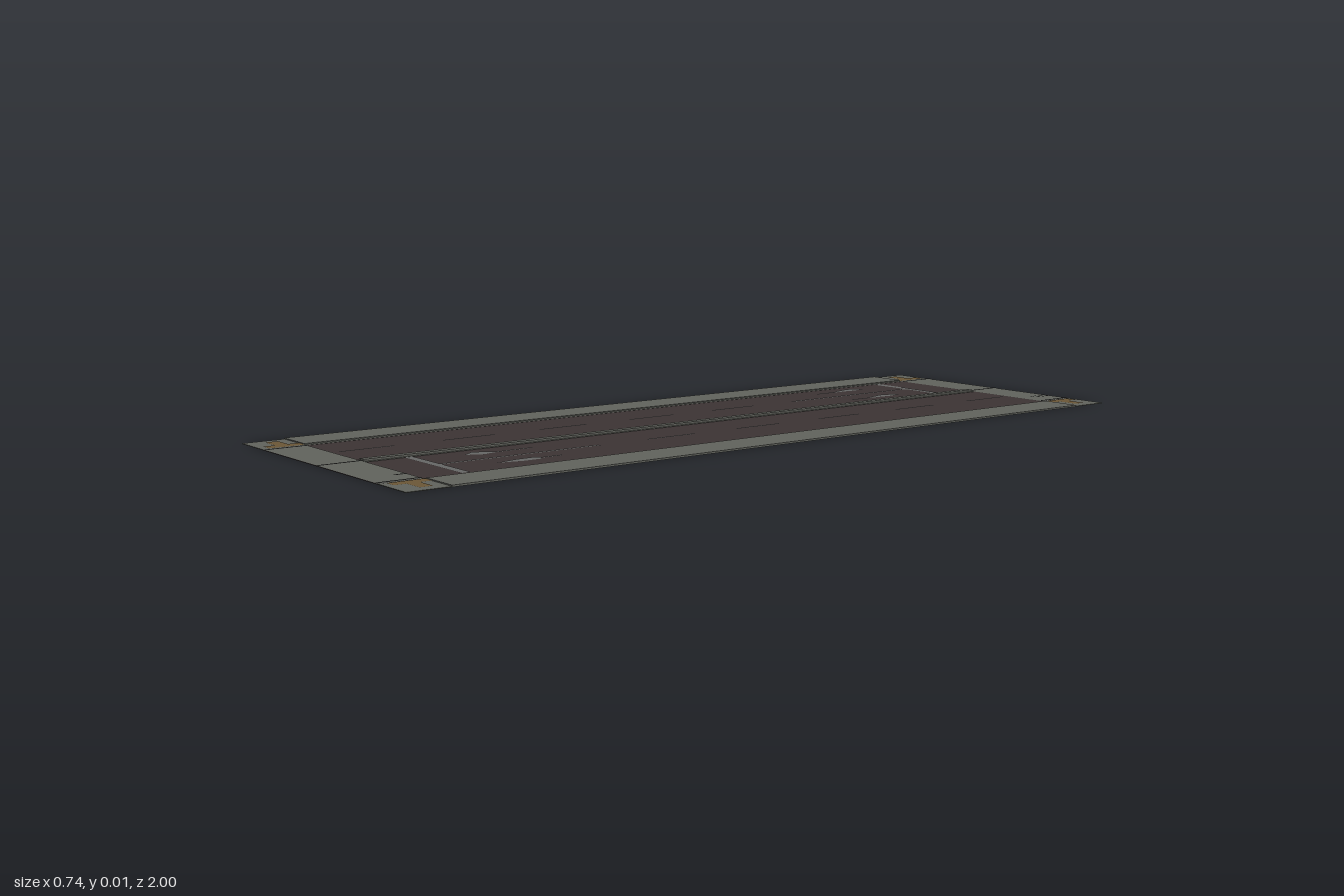
import * as THREE from 'three';

const mat = (name, color) => {
  const m = new THREE.MeshStandardMaterial({ color });
  m.name = name;
  return m;
};

export function createModel() {
  const model = new THREE.Group();
  model.name = 'roadSection';
  const asphalt = mat('asphalt', 0x3b3333);
  const concrete = mat('concrete', 0x5f615b);
  const paint = mat('roadPaint', 0x656664);
  const joint = mat('darkJoint', 0x282827);
  const tactile = mat('ochrePaving', 0x6a5636);

  // A slab spanning x0..x1, y0..y1, z0..z1
  const slab = (name, m, x0, x1, y0, y1, z0, z1) => {
    const mesh = new THREE.Mesh(new THREE.BoxGeometry(x1 - x0, y1 - y0, z1 - z0), m);
    mesh.position.set((x0 + x1) / 2, (y0 + y1) / 2, (z0 + z1) / 2);
    mesh.name = name;
    model.add(mesh);
  };
  // A painted patch lying on the asphalt
  const patch = (name, m, x, z, w, l, top = 0.0016) => {
    const mesh = new THREE.Mesh(new THREE.PlaneGeometry(w, l).rotateX(-Math.PI / 2), m);
    mesh.position.set(x, top, z);
    mesh.name = name;
    model.add(mesh);
  };

  // Carriageway
  slab('carriageway', asphalt, -0.257, 0.257, 0, 0.001, -1, 1);

  // Pavements with lowered ends
  for (const s of [-1, 1]) {
    const span = (a, b) => (s > 0 ? [a, b] : [-b, -a]);
    slab('pavementBase', concrete, ...span(0.257, 0.368), 0, 0.0015, -1, 1);
    slab('raisedPavement', concrete, ...span(0.267, 0.368), 0.0015, 0.004, -0.9, 0.9);
  }

  // Median strip with raised kerb
  slab('medianStrip', concrete, -0.016, 0.016, 0.001, 0.002, -0.9, 0.9);
  slab('medianKerb', concrete, -0.009, 0.009, 0.002, 0.006, -0.9, 0.9);

  // Crossing aprons, joints and tactile paving at both ends
  for (const e of [-1, 1]) {
    patch('crossingApron', concrete, 0, e * 0.95, 0.514, 0.1);
    for (const x of [-0.25, 0, 0.25]) patch('apronJoint', joint, x, e * 0.95, 0.009, 0.1, 0.0024);
    for (const s of [-1, 1]) {
      patch('tactileBar', tactile, s * 0.278, e * 0.942, 0.03, 0.085, 0.0024);
      patch('tactileStrip', tactile, s * 0.318, e * 0.942, 0.05, 0.03, 0.0024);
    }
  }
  // Small drain slots
  for (const x of [0.178, 0.188, 0.197]) patch('drainSlot', joint, x, -0.967, 0.003, 0.055, 0.0024);
  patch('drainSlot', joint, 0.192, 0.915, 0.008, 0.03, 0.0024);

  // Lane lines: each direction is the other turned half round
  for (const s of [1, -1]) {
    patch('stopLine', paint, s * -0.134, s * -0.8, 0.238, 0.02);
    patch('solidLaneLine', paint, s * -0.134, s * -0.592, 0.01, 0.396);
    for (let i = 0; i < 5; i++) patch('laneDash', paint, s * -0.134, s * (-0.198 + i * 0.254), 0.007, 0.132);
  }

  // Lane arrows: stem base, then outline towards the tip
  const arrow = (name, x, dir, outline) => {
    const shape = new THREE.Shape(outline.map(([px, along]) => new THREE.Vector2(x + px, dir * along)));
    const mesh = new THREE.Mesh(new THREE.ShapeGeometry(shape).rotateX(-Math.PI / 2), paint);
    mesh.position.y = 0.0016;
    mesh.name = name;
    model.add(mesh);
  };
  const turnLeft = [[-0.004, 0.535], [0.004, 0.535], [0.004, 0.645], [0.006, 0.67], [-0.004, 0.71],
    [-0.024, 0.675], [-0.024, 0.655], [-0.01, 0.61], [-0.004, 0.6]];
  const turnBroad = [[-0.004, 0.53], [0.004, 0.53], [0.004, 0.62], [0.012, 0.655], [-0.006, 0.695],
    [-0.028, 0.665], [-0.022, 0.645], [-0.004, 0.615]];
  const ahead = [[-0.003, 0.53], [0.003, 0.53], [0.004, 0.585], [0.014, 0.59], [0.014, 0.635],
    [0, 0.695], [-0.014, 0.635], [-0.014, 0.59], [-0.004, 0.585]];
  arrow('laneArrow', -0.2, 1, turnLeft);
  arrow('laneArrow', -0.065, 1, turnLeft);
  arrow('laneArrow', 0.073, -1, turnBroad);
  arrow('laneArrow', 0.193, -1, ahead);

  return model;
}
